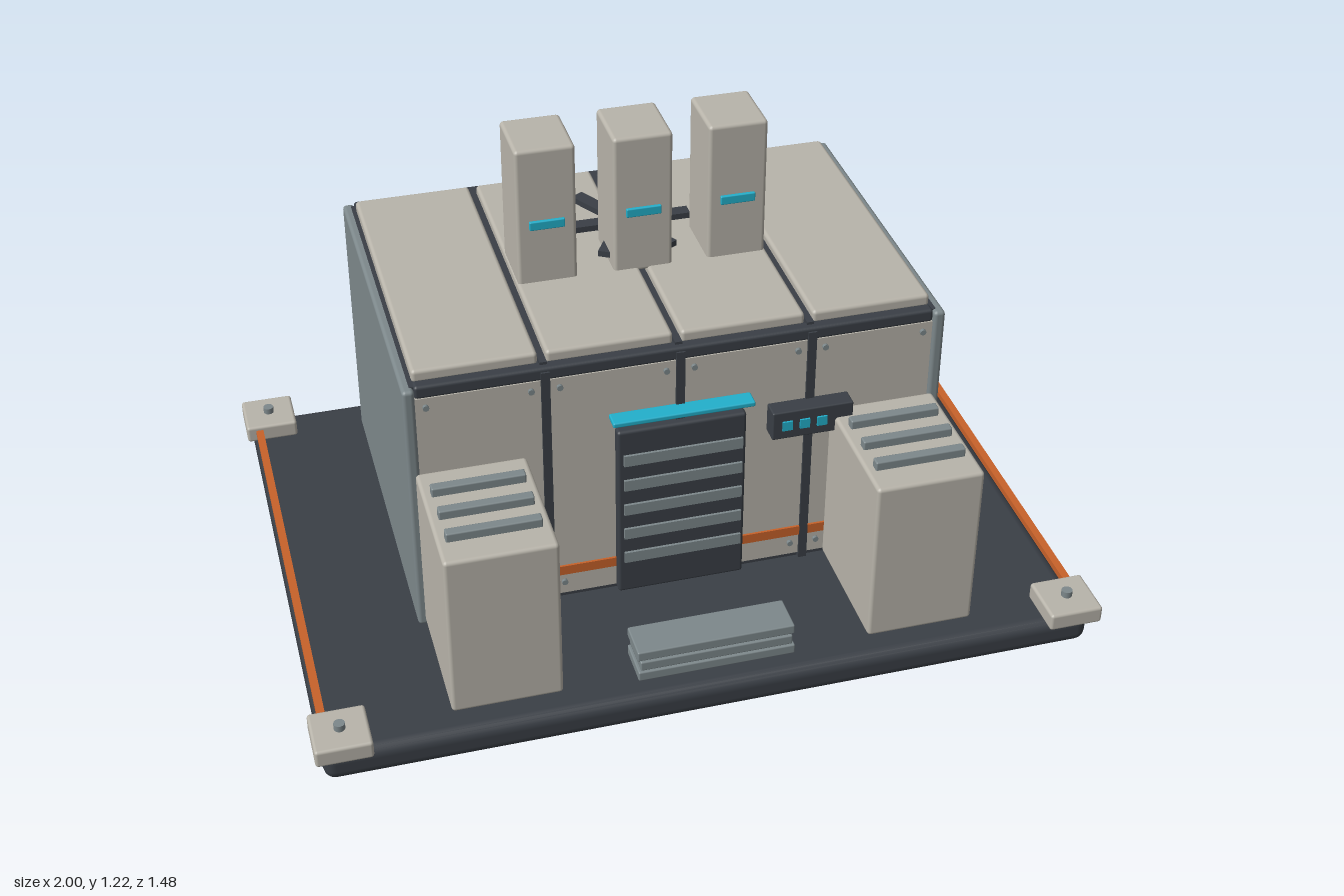
import * as THREE from 'three';
import { RoundedBoxGeometry } from 'three/addons/geometries/RoundedBoxGeometry.js';

const material = (name, color) => {
  const m = new THREE.MeshStandardMaterial({ color });
  m.name = name;
  return m;
};

export function createModel() {
  const beige = material('warm beige', 0xb8b4aa);
  const dark = material('charcoal', 0x3a3f46);
  const steel = material('blue grey', 0x7d888b);
  const orange = material('orange', 0xc8622a);
  const cyan = material('cyan', 0x22b0cc);

  const model = new THREE.Group();
  model.name = 'machineHouse';

  const add = (name, geometry, mat, x = 0, y = 0, z = 0, parent = model) => {
    const mesh = new THREE.Mesh(geometry, mat);
    mesh.name = name;
    mesh.position.set(x, y, z);
    parent.add(mesh);
    return mesh;
  };
  // Box given by its limits on each axis; r rounds the edges
  const box = (name, mat, [x0, x1], [y0, y1], [z0, z1], r = 0, parent = model) => {
    const size = [x1 - x0, y1 - y0, z1 - z0];
    const geometry = r ? new RoundedBoxGeometry(...size, 2, r) : new THREE.BoxGeometry(...size);
    return add(name, geometry, mat, (x0 + x1) / 2, (y0 + y1) / 2, (z0 + z1) / 2, parent);
  };
  const around = (c, w) => [c - w / 2, c + w / 2];
  const side = (s, a, b) => (s > 0 ? [a, b] : [-b, -a]);
  const group = (name) => {
    const g = new THREE.Group();
    g.name = name;
    model.add(g);
    return g;
  };

  // Base slab, corner blocks and side rails
  box('baseSlab', dark, [-0.98, 0.98], [0, 0.083], [-0.715, 0.715], 0.03);
  for (const s of [-1, 1]) {
    box('sideRail', orange, around(s * 0.965, 0.02), [0.1, 0.117], [-0.62, 0.62]);
    for (const t of [-1, 1]) {
      box('cornerBlock', beige, side(s, 0.86, 1), [0.08, 0.128], side(t, 0.6, 0.74), 0.008);
      add('cornerBolt', new THREE.CylinderGeometry(0.014, 0.014, 0.018, 12), steel, s * 0.93, 0.136, t * 0.67);
    }
  }

  // Housing: dark core, side walls, edge trims
  box('housingCore', dark, [-0.66, 0.66], [0.11, 0.82], [-0.565, 0.315]);
  for (const s of [-1, 1]) {
    box('sideWall', steel, side(s, 0.65, 0.68), [0.11, 0.82], [-0.58, 0.335], 0.01);
  }
  for (const z of [0.31, -0.565]) {
    box('topTrim', dark, [-0.65, 0.65], [0.79, 0.825], around(z, 0.034), 0.008);
  }

  // Front and roof panels separated by dark seams
  const bays = [[-0.65, -0.345], [-0.325, -0.01], [0.01, 0.325], [0.345, 0.65]];
  for (const bay of bays) {
    box('frontPanel', beige, bay, [0.127, 0.79], [0.3, 0.325]);
    box('roofPanel', beige, bay, [0.815, 0.85], [-0.54, 0.295], 0.01);
    for (const x of [bay[0] + 0.025, bay[1] - 0.025]) {
      for (const y of [0.165, 0.765]) {
        const bolt = add('panelBolt', new THREE.CylinderGeometry(0.008, 0.008, 0.01, 8), steel, x, y, 0.328);
        bolt.rotation.x = Math.PI / 2;
      }
    }
  }
  for (const x of [-0.335, 0, 0.335]) {
    box('frontSeam', dark, around(x, 0.022), [0.115, 0.815], [0.3, 0.332]);
    box('roofSeam', dark, around(x, 0.018), [0.81, 0.832], [-0.55, 0.31]);
  }
  box('backPanel', beige, [-0.65, 0.65], [0.127, 0.79], [-0.575, -0.55]);
  box('frontStripe', orange, [-0.65, 0.65], [0.19, 0.217], [0.325, 0.331]);
  box('backStripe', orange, [-0.65, 0.65], [0.19, 0.217], [-0.581, -0.575]);

  // Louvred door with light bar
  const door = group('door');
  box('doorFrame', dark, [-0.165, 0.165], [0.12, 0.62], [0.32, 0.352], 0.008, door);
  for (let i = 0; i < 5; i++) {
    box('doorLouver', steel, [-0.15, 0.155], around(0.535 - i * 0.0755, 0.031), [0.345, 0.359], 0, door);
  }
  box('lightBar', cyan, [-0.18, 0.18], around(0.657, 0.014), [0.325, 0.372], 0.004, door);

  // Stacked front step
  for (let i = 0; i < 3; i++) {
    box('stepSlab', steel, around(0, 0.4 - (i % 2) * 0.012), [0.11 + i * 0.028, 0.137 + i * 0.028], [0.57, 0.68 - i * 0.004], 0.004);
  }

  // Button panel beside the door
  box('buttonPanel', dark, [0.225, 0.435], [0.54, 0.62], [0.325, 0.375], 0.004);
  for (const x of [0.263, 0.308, 0.353]) {
    box('button', cyan, around(x, 0.026), around(0.58, 0.026), [0.374, 0.38]);
  }

  // Front cabinets with top vents
  for (const s of [-1, 1]) {
    box('cabinet', beige, side(s, 0.388, 0.662), [0.125, 0.58], [0.33, 0.685], 0.01);
    for (const z of [0.42, 0.51, 0.597]) {
      box('cabinetVent', steel, side(s, 0.41, 0.64), [0.575, 0.603], around(z, 0.026), 0.004);
    }
  }

  // Chimney stacks with indicator lights
  for (const x of [-0.246, 0, 0.244]) {
    box('chimney', beige, around(x, 0.152), [0.84, 1.222], [-0.19, -0.017], 0.01);
    box('chimneyLight', cyan, around(x, 0.09), around(1.015, 0.024), [-0.018, -0.008], 0.003);
  }

  // Roof fan
  const fan = group('roofFan');
  fan.position.set(0, 0.87, -0.217);
  add('fanHub', new THREE.CylinderGeometry(0.034, 0.034, 0.045, 20), steel, 0, 0, 0, fan);
  for (let i = 0; i < 6; i++) {
    const arm = new THREE.Group();
    arm.name = 'fanArm';
    arm.rotation.y = (i * Math.PI) / 3;
    box('fanBlade', dark, [0.02, 0.175], [-0.006, 0.01], [-0.018, 0.018], 0, arm);
    fan.add(arm);
  }

  // Side control box on the left wall
  const control = group('sideControl');
  box('controlCase', dark, [0.67, 0.732], [0.23, 0.475], [0.02, 0.19], 0.012, control);
  box('controlScreen', cyan, [0.73, 0.738], [0.37, 0.445], [0.05, 0.165], 0, control);
  for (const y of [0.345, 0.321, 0.298]) {
    box('controlSlot', steel, [0.73, 0.736], around(y, 0.008), [0.05, 0.165], 0, control);
  }

  // Rear pipes with clamps
  for (const x of [-0.28, 0, 0.28]) {
    const pipe = group('rearPipe');
    pipe.position.set(x, 0, -0.55);
    add('pipeBody', new THREE.CylinderGeometry(0.06, 0.06, 0.62, 24), beige, 0, 0.43, 0, pipe);
    add('pipeNeck', new THREE.CylinderGeometry(0.05, 0.05, 0.04, 24), beige, 0, 0.755, 0, pipe);
    add('pipeFoot', new THREE.CylinderGeometry(0.032, 0.032, 0.025, 16), orange, 0, 0.11, 0, pipe);
    for (const y of [0.705, 0.318, 0.178]) {
      const clamp = add('pipeClamp', new THREE.TorusGeometry(0.066, 0.016, 10, 28), dark, 0, y, 0, pipe);
      clamp.rotation.x = Math.PI / 2;
    }
  }
  return model;
}
